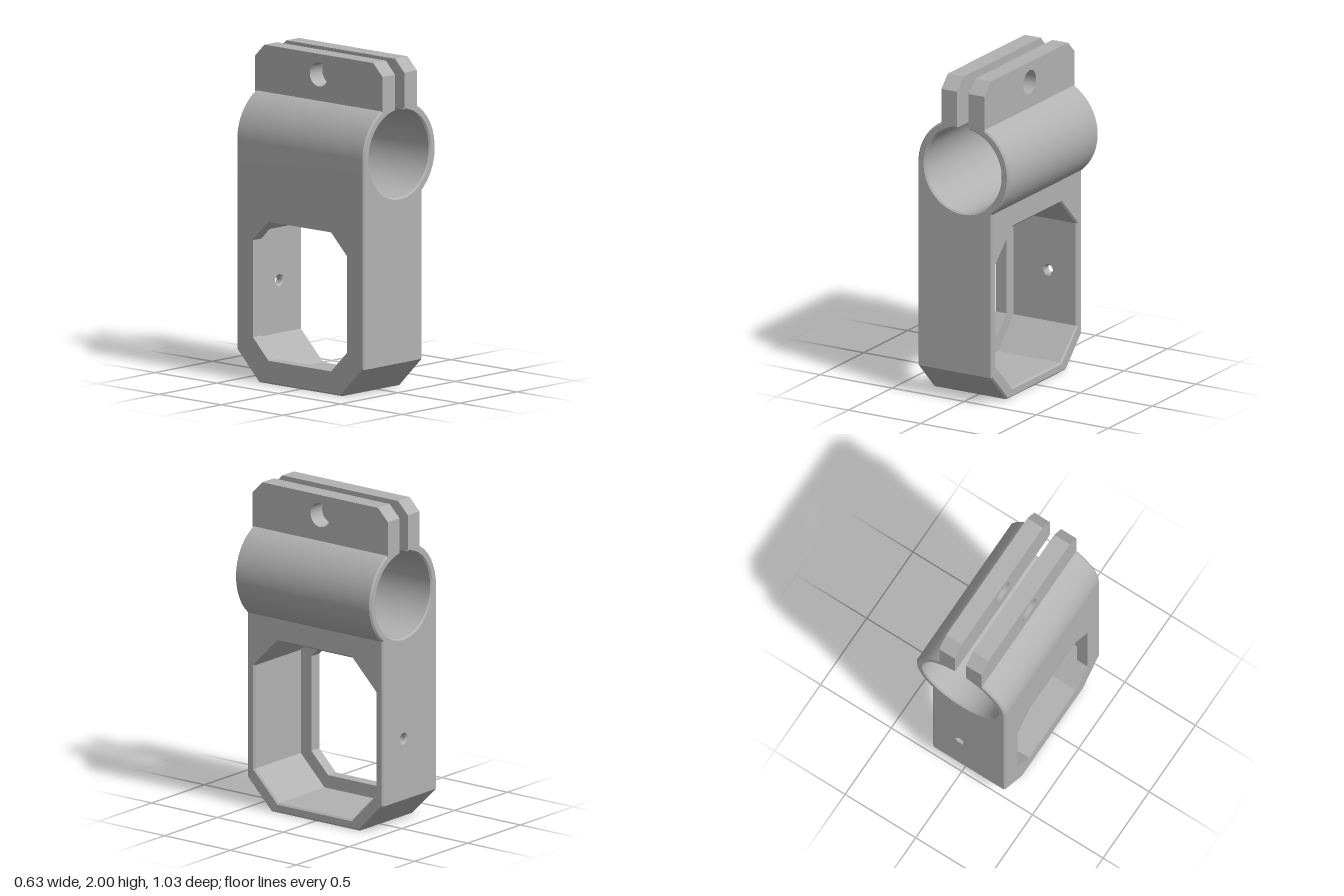
import * as THREE from 'three';
import { toCreasedNormals } from 'three/addons/utils/BufferGeometryUtils.js';

const HALF = 0.515;    // half length along z
const LEFT = 0.2, RIGHT = -0.315;   // x faces of the block
const EDGE = 0.01;     // small edge chamfer

const grey = new THREE.MeshStandardMaterial({ color: 0xb2b2b2 });
grey.name = 'grey plastic';

const polygon = (points) => points.map(([x, y]) => new THREE.Vector2(x, y));

// Octagon from half width, bottom, top and corner cut
function octagon(w, bottom, top, cut) {
  return polygon([
    [-w + cut, bottom], [w - cut, bottom], [w, bottom + cut], [w, top - cut],
    [w - cut, top], [-w + cut, top], [-w, top - cut], [-w, bottom + cut],
  ]);
}

function circlePath(x, y, r) {
  return new THREE.Path().absarc(x, y, r, 0, Math.PI * 2, true);
}

// Extrude a profile between two depths, keeping its full size under the chamfer
function prism(shape, from, to, chamfer = 0) {
  const g = new THREE.ExtrudeGeometry(shape, {
    depth: to - from - 2 * chamfer,
    bevelEnabled: chamfer > 0,
    bevelThickness: chamfer,
    bevelSize: chamfer,
    bevelOffset: -chamfer,
    bevelSegments: 1,
    curveSegments: 56,
  });
  g.translate(0, 0, from + chamfer);
  return toCreasedNormals(g, 0.45);
}

// Profile drawn in (-z, y), extruded along x
const prismX = (...args) => prism(...args).rotateY(Math.PI / 2);

export function createModel() {
  const model = new THREE.Group();
  model.name = 'clampBracket';
  const add = (name, geometry) => {
    const mesh = new THREE.Mesh(geometry, grey);
    mesh.name = name;
    model.add(mesh);
  };

  // Block walls around the pocket, with a gap in the back wall for the drilled plate
  const gapLow = 0.42, gapHigh = 0.7, top = 1.165, p = 0.46, cut = 0.18;
  const walls = new THREE.Shape(polygon([
    [-HALF, 0.18], [-0.335, 0], [0.335, 0], [HALF, 0.18], [HALF, gapLow],
    [p, gapLow], [p, 0.06 + cut], [p - cut, 0.06], [-p + cut, 0.06], [-p, 0.06 + cut],
    [-p, 1.057 - cut], [-p + cut, 1.057], [p - cut, 1.057], [p, 1.057 - cut],
    [p, gapHigh], [HALF, gapHigh], [HALF, top], [-HALF, top],
  ]));
  add('blockWalls', prismX(walls, RIGHT, LEFT, EDGE));

  // Back wall plate with its small screw hole
  const plate = new THREE.Shape(polygon([
    [RIGHT, gapLow - 0.03], [LEFT, gapLow - 0.03],
    [LEFT, gapHigh + 0.03], [RIGHT, gapHigh + 0.03],
  ]));
  plate.holes.push(circlePath(0, 0.557, 0.026));
  add('screwHolePlate', prism(plate, -HALF, -p, EDGE));

  // Inner lip that narrows the pocket at the right face
  const lip = new THREE.Shape(octagon(p + 0.015, 0.045, 1.072, 0.186));
  lip.holes.push(new THREE.Path(octagon(0.38, 0.14, 0.978, 0.127)));
  add('pocketLip', prismX(lip, RIGHT, -0.24));

  // Split collar blending into the block
  const cy = 1.44, R = 0.315, r = 0.263, slot = 0.04;
  const outer = Math.acos(slot / R), inner = Math.acos(slot / r);
  const collar = new THREE.Shape();
  collar.moveTo(RIGHT, 1.1);
  collar.lineTo(LEFT, 1.1);
  collar.absarc(0, cy, R, -Math.acos(LEFT / R), outer, false);
  collar.absarc(0, cy, r, inner, Math.PI - inner, true);
  collar.absarc(0, cy, R, Math.PI - outer, Math.PI, false);
  collar.closePath();
  add('collar', prism(collar, -HALF, HALF, EDGE));

  // Pair of clamp ears with a bolt hole
  const ear = new THREE.Shape(polygon([
    [-HALF, 1.71], [HALF, 1.71], [HALF, 1.925], [0.44, 2], [-0.44, 2], [-HALF, 1.925],
  ]));
  ear.holes.push(circlePath(0, 1.876, 0.073));
  add('leftClampEar', prismX(ear, slot, 0.15));
  add('rightClampEar', prismX(ear, -0.15, -slot));

  return model;
}
